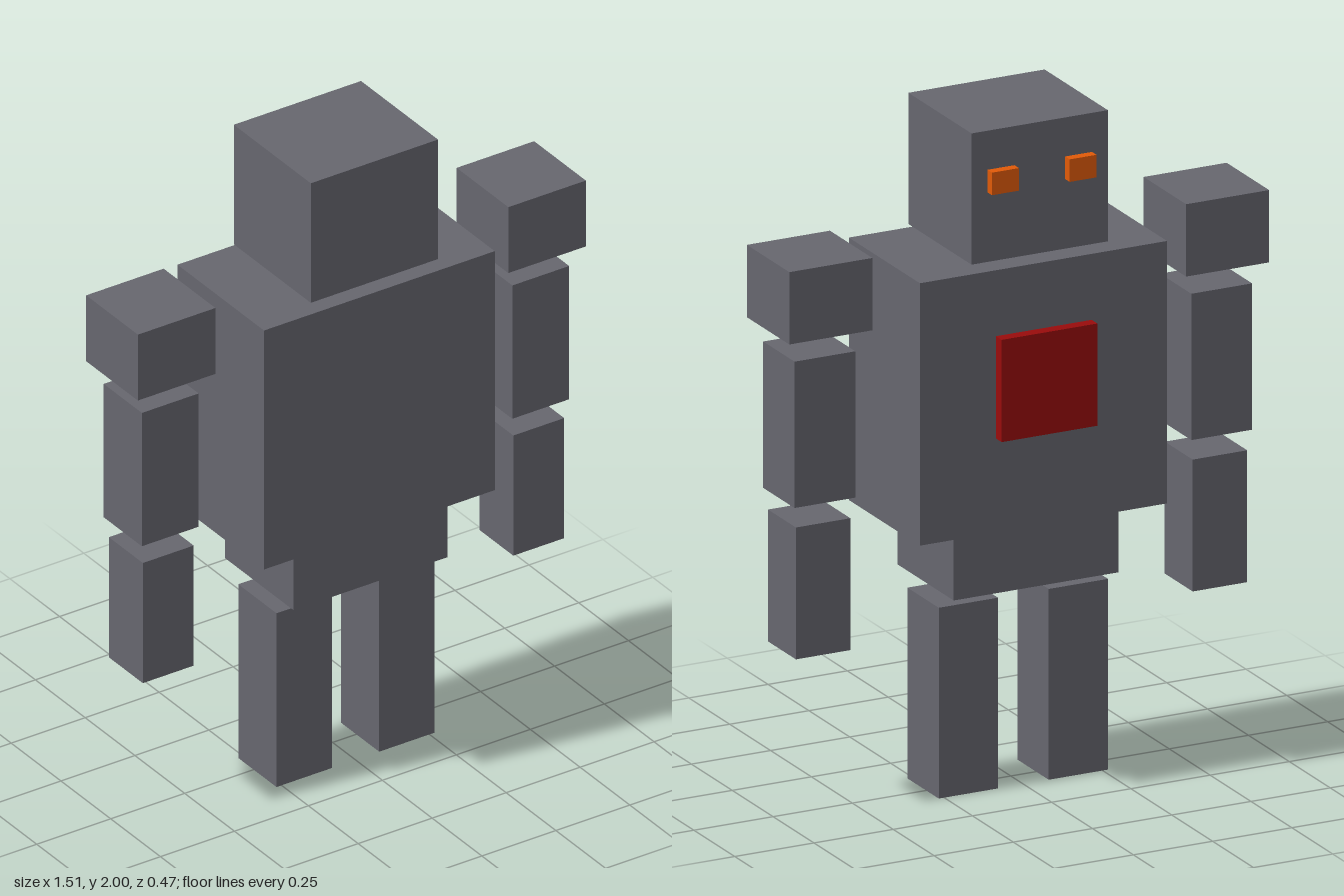
import * as THREE from 'three';

export function createModel() {
  const model = new THREE.Group();
  model.name = 'blockRobot';

  const metal = new THREE.MeshStandardMaterial({ color: 0x66666e });
  const red = new THREE.MeshStandardMaterial({ color: 0x990c0c });
  const orange = new THREE.MeshStandardMaterial({ color: 0xe05a08 });

  // Box given by its extents along x, y and z
  function block(name, [x0, x1], [y0, y1], [z0, z1], material = metal) {
    const mesh = new THREE.Mesh(new THREE.BoxGeometry(x1 - x0, y1 - y0, z1 - z0), material);
    mesh.position.set((x0 + x1) / 2, (y0 + y1) / 2, (z0 + z1) / 2);
    mesh.name = name;
    model.add(mesh);
  }

  // The same box on both sides of the body
  function pair(name, [x0, x1], y, z, material) {
    block('left' + name, [x0, x1], y, z, material);
    block('right' + name, [-x1, -x0], y, z, material);
  }

  // Body
  block('head', [-0.215, 0.215], [1.61, 2], [-0.177, 0.21]);
  block('torso', [-0.39, 0.39], [0.81, 1.59], [-0.2, 0.235]);
  block('pelvis', [-0.26, 0.26], [0.612, 0.81], [-0.155, 0.19]);

  // Arms, floating free of the torso
  pair('Shoulder', [0.495, 0.757], [1.44, 1.655], [-0.113, 0.147]);
  pair('UpperArm', [0.53, 0.722], [0.937, 1.372], [-0.077, 0.115]);
  pair('Forearm', [0.54, 0.712], [0.482, 0.874], [-0.066, 0.105]);

  // Legs
  pair('Leg', [0.08, 0.267], [0, 0.567], [-0.077, 0.115]);

  // Face and chest details, on the -z side
  pair('Eye', [0.08, 0.165], [1.817, 1.884], [-0.205, -0.177], orange);
  block('chestPlate', [-0.152, 0.15], [1.09, 1.394], [-0.235, -0.2], red);

  return model;
}
